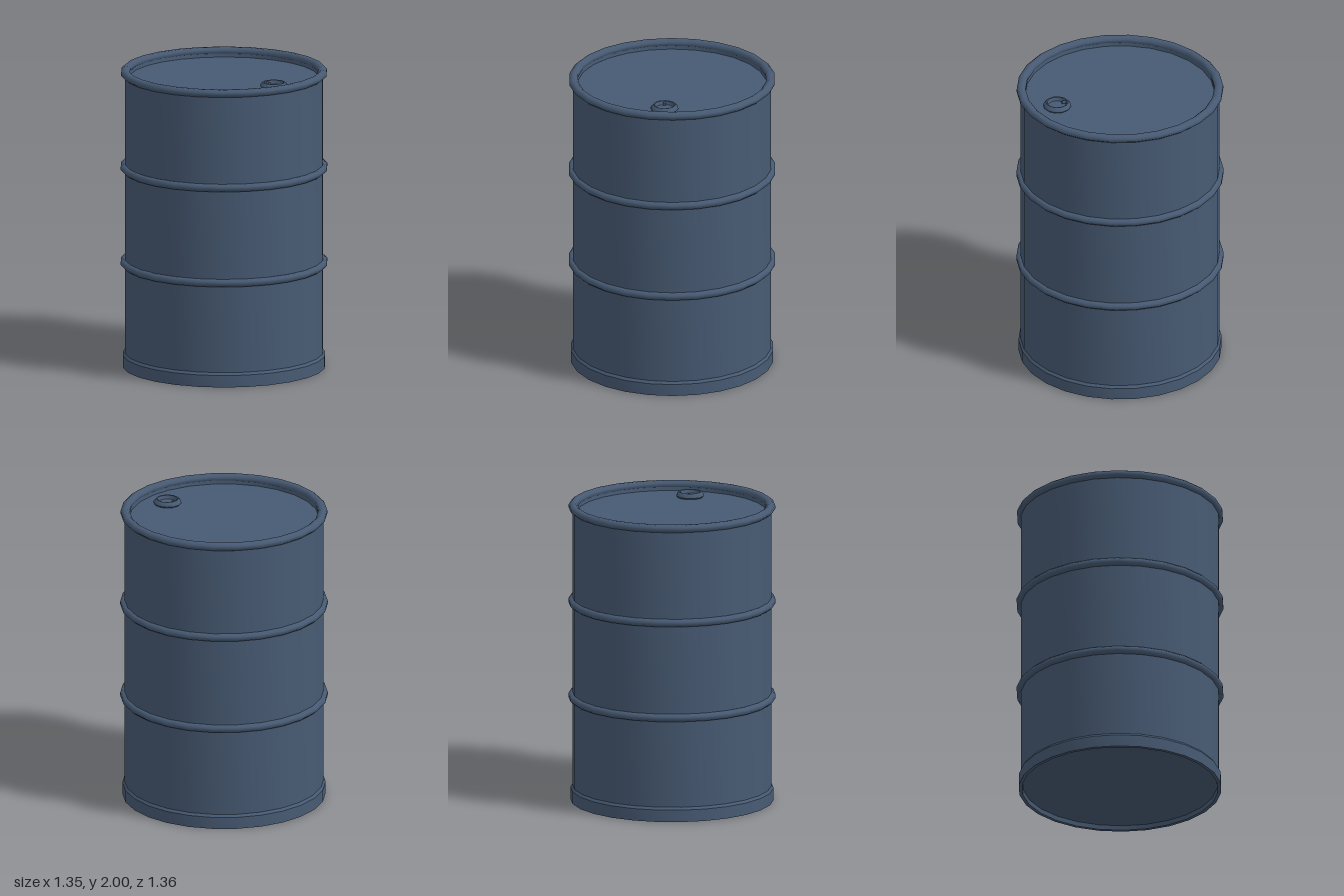
import * as THREE from 'three';
import { toCreasedNormals } from 'three/addons/utils/BufferGeometryUtils.js';

const SIDES = 26;

export function createModel() {
  const model = new THREE.Group();
  model.name = 'steelDrum';
  const bluePaint = new THREE.MeshStandardMaterial({ color: 0x475a73 });
  bluePaint.name = 'bluePaint';

  const add = (name, geometry, parent = model) => {
    const mesh = new THREE.Mesh(geometry, bluePaint);
    mesh.name = name;
    parent.add(mesh);
    return mesh;
  };

  // Turned part: profile of [radius, height] pairs, counter-clockwise
  const turned = (profile, sides = SIDES, crease = 0.6) =>
    toCreasedNormals(
      new THREE.LatheGeometry(profile.map(([r, y]) => new THREE.Vector2(r, y)), sides), crease);

  // Rounded hoop with an eight-sided oval section
  const hoop = (radius, y, rx, ry) => {
    const profile = [];
    for (let i = 0; i <= 8; i++) {
      const a = ((i + 0.5) / 8) * Math.PI * 2;
      profile.push([radius + (rx * Math.cos(a)) / Math.cos(Math.PI / 8),
        y + (ry * Math.sin(a)) / Math.cos(Math.PI / 8)]);
    }
    return turned(profile, SIDES, 0.95);
  };

  // Flat disc with corners matching the turned parts
  const disc = (radius, y, up, sides = SIDES) => {
    const g = new THREE.CircleGeometry(radius, sides, Math.PI / 2);
    g.rotateX(up ? -Math.PI / 2 : Math.PI / 2);
    g.translate(0, y, 0);
    return g;
  };

  // Shell
  add('body', turned([[0.655, 0.09], [0.655, 1.97]]));
  [0.70, 1.34].forEach((y, i) => add(`bodyHoop${i + 1}`, hoop(0.655, y, 0.027, 0.025)));

  // Base band with chamfered top, and the recessed base plate
  add('baseBand', turned([[0.64, 0.035], [0.645, 0], [0.668, 0], [0.668, 0.08], [0.655, 0.097]]));
  add('basePlate', disc(0.642, 0.03, false));

  // Rolled top rim and recessed lid
  add('topRim', hoop(0.65, 1.975, 0.029, 0.025));
  add('rimInnerWall', turned([[0.626, 1.985], [0.622, 1.935]]));
  add('lid', disc(0.624, 1.938, true));

  // Filler bung: collar with a hollow, and a small catch inside it
  const bung = new THREE.Group();
  bung.name = 'bung';
  bung.position.set(0.448, 1.938, 0);
  model.add(bung);
  add('bungCollar', turned([[0.082, 0], [0.092, 0.01], [0.09, 0.022], [0.074, 0.038],
    [0.066, 0.036], [0.058, 0.012]], 12, 0.8), bung);
  add('bungFloor', disc(0.06, 0.013, true, 12), bung);
  const catchPin = add('bungCatch', new THREE.CylinderGeometry(0.01, 0.01, 0.03, 8), bung);
  catchPin.rotation.z = Math.PI / 2;
  catchPin.position.set(-0.05, 0.024, 0.005);

  return model;
}
